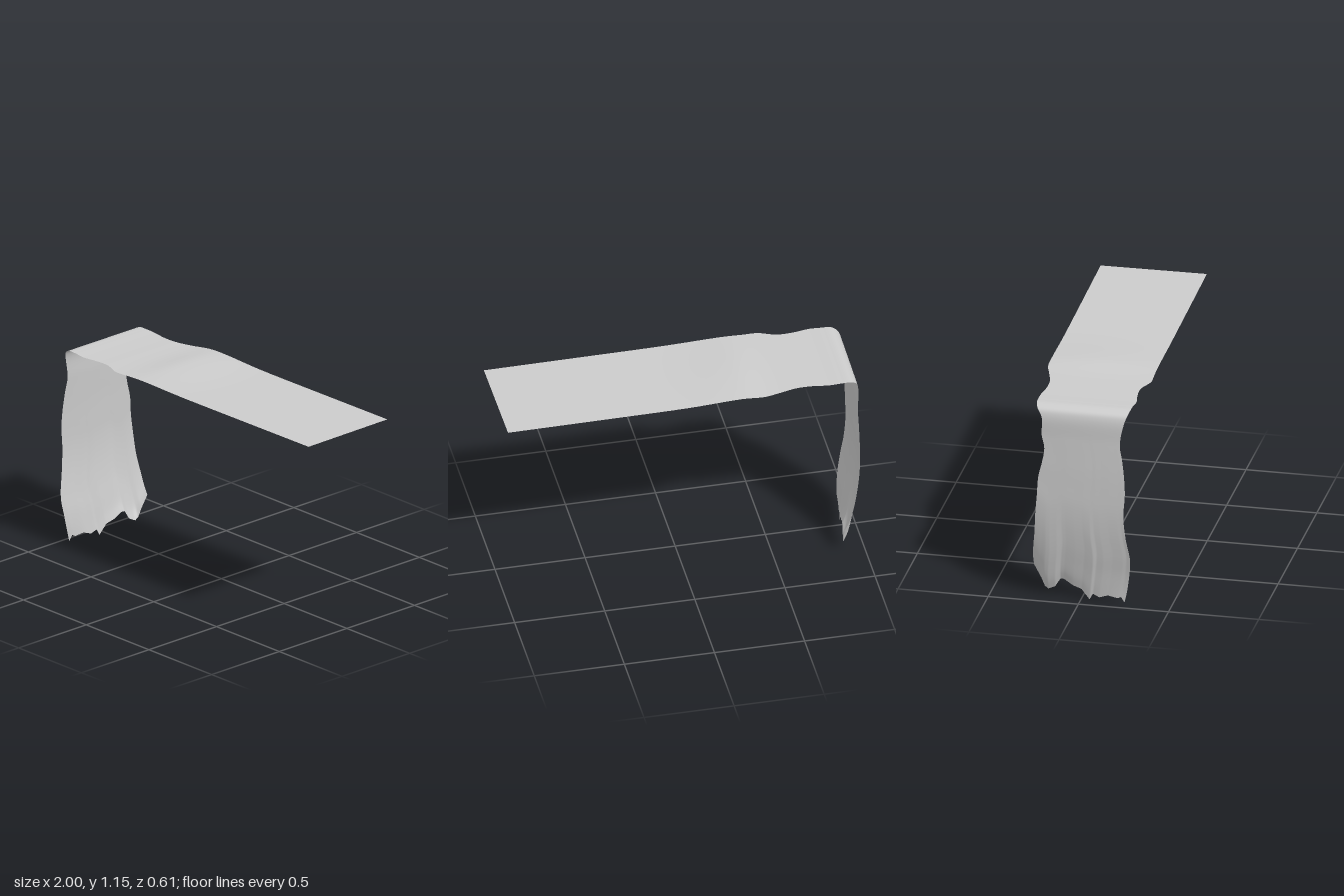
import * as THREE from 'three';

// Stations along the strip: x, y, front edge z, back edge z, twist in x
const STATIONS = [
  [0.997, 1.135, 0.283, -0.305, -0.003],
  [0.5, 1.135, 0.288, -0.3, 0],
  [0, 1.135, 0.293, -0.295, 0],
  [-0.3, 1.135, 0.297, -0.291, 0],
  [-0.43, 1.135, 0.299, -0.29, 0],
  [-0.52, 1.135, 0.3, -0.265, 0],
  [-0.62, 1.135, 0.265, -0.24, 0],
  [-0.71, 1.134, 0.266, -0.238, 0],
  [-0.8, 1.134, 0.28, -0.25, 0],
  [-0.87, 1.136, 0.274, -0.25, 0],
  [-0.92, 1.134, 0.272, -0.247, 0],
  [-0.955, 1.113, 0.262, -0.235, 0.002],
  [-0.972, 1.07, 0.247, -0.21, 0.003],
  [-0.976, 0.95, 0.226, -0.21, 0.006],
  [-0.98, 0.86, 0.24, -0.195, 0.008],
  [-0.984, 0.76, 0.252, -0.208, 0.01],
  [-0.986, 0.66, 0.257, -0.228, 0.012],
  [-0.987, 0.53, 0.249, -0.236, 0.012],
  [-0.98, 0.4, 0.26, -0.246, 0.012],
  [-0.964, 0.26, 0.282, -0.254, 0.012],
  [-0.945, 0.15, 0.272, -0.265, 0.014],
  [-0.929, 0.06, 0.258, -0.27, 0.022],
  [-0.915, 0, 0.245, -0.27, 0.034],
];

// Torn hem: z, height
const HEM = [
  [0.245, 0.01], [0.225, 0.04], [0.205, 0.03], [0.15, 0.038], [0.1, 0.02], [0.065, 0.036],
  [0.045, 0], [0, 0.055], [-0.05, 0.07], [-0.1, 0.1], [-0.12, 0.1], [-0.15, 0.05],
  [-0.19, 0.03], [-0.21, 0.045], [-0.23, 0.09], [-0.27, 0.16],
];

function hemHeight(z) {
  for (let i = 1; i < HEM.length; i++) {
    const [z0, y0] = HEM[i - 1], [z1, y1] = HEM[i];
    if (z >= z1) return y0 + (y1 - y0) * (z0 - z) / (z0 - z1);
  }
  return HEM[HEM.length - 1][1];
}

// Soft swelling on the flat part
function swell(x, z) {
  const dx = (x + 0.32) / (x < -0.32 ? 0.13 : 0.22);
  const dz = (z + 0.06) / 0.28;
  return 0.019 * Math.exp(-dx * dx - 0.6 * dz * dz);
}

export function createModel() {
  const edge = (zIndex, side) => new THREE.CatmullRomCurve3(
    STATIONS.map((s) => new THREE.Vector3(s[0] - side * s[4], s[1], s[zIndex])));
  const front = edge(2, 1), back = edge(3, -1);
  const FOLD_Y = 1.07, ROWS = 132, COLS = 103;

  // Loft between both edges, then drape the lower end onto the torn hem
  const geometry = new THREE.PlaneGeometry(1, 1, COLS, ROWS);
  const pos = geometry.attributes.position;
  const p = new THREE.Vector3();
  for (let r = 0; r <= ROWS; r++) {
    const a = front.getPoint(r / ROWS), b = back.getPoint(r / ROWS);
    for (let c = 0; c <= COLS; c++) {
      const v = c / COLS;
      p.lerpVectors(a, b, v);
      if (p.y < FOLD_Y) p.y += hemHeight(0.245 - 0.515 * v) * (1 - p.y / FOLD_Y);
      else p.y += swell(p.x, p.z);
      pos.setXYZ(r * (COLS + 1) + c, p.x, p.y, p.z);
    }
  }
  // Wind the faces so the outer side of the cloth faces up
  const index = geometry.index.array;
  const e1 = new THREE.Vector3().fromBufferAttribute(pos, index[1]);
  const e2 = new THREE.Vector3().fromBufferAttribute(pos, index[2]);
  p.fromBufferAttribute(pos, index[0]);
  if (e1.sub(p).cross(e2.sub(p)).y < 0) {
    for (let i = 0; i < index.length; i += 3) [index[i], index[i + 1]] = [index[i + 1], index[i]];
  }
  geometry.computeVertexNormals();

  const cloth = new THREE.Mesh(geometry,
    new THREE.MeshStandardMaterial({ color: 0xcccccc, side: THREE.DoubleSide }));
  cloth.name = 'tornClothStrip';
  const group = new THREE.Group();
  group.name = 'drapedCloth';
  group.add(cloth);
  return group;
}
